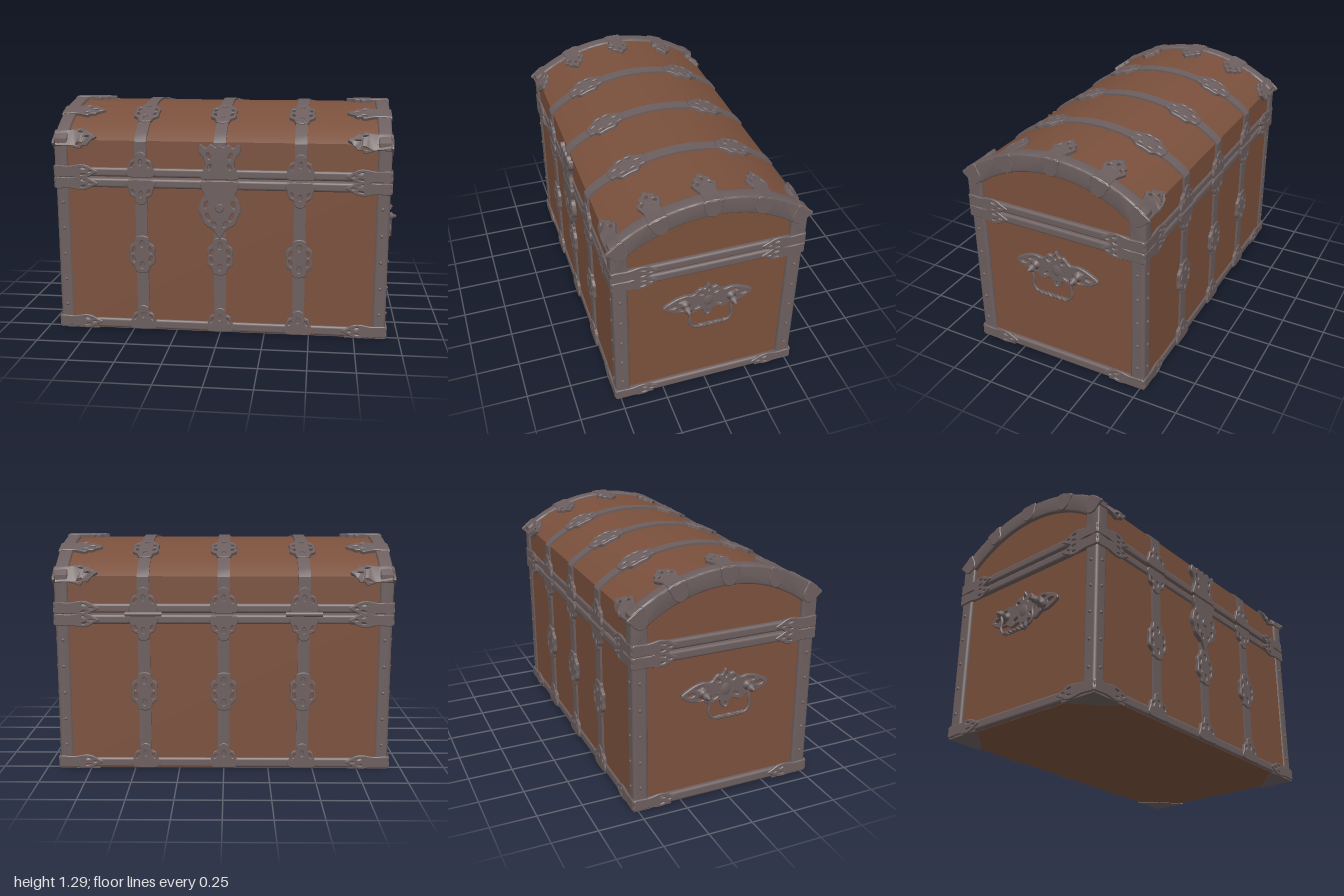
import * as THREE from 'three';
import { toCreasedNormals } from 'three/addons/utils/BufferGeometryUtils.js';
import { RoundedBoxGeometry } from 'three/addons/geometries/RoundedBoxGeometry.js';

const wood = new THREE.MeshStandardMaterial({ color: 0x7a503c });
wood.name = 'brown wood';
const iron = new THREE.MeshStandardMaterial({ color: 0x6c5e5e });
iron.name = 'dull iron';

// Lid cross-section: arc of radius R about height CY, then straight walls at z = HZ
const R = 0.84, CY = 0.43, HZ = 0.517, A = Math.asin(HZ / R), S = R * A;

function add(parent, name, geo, mat, x = 0, y = 0, z = 0) {
  const m = new THREE.Mesh(geo, mat);
  m.name = name;
  m.position.set(x, y, z);
  parent.add(m);
  return m;
}

// Arched outline: straight sides from y0, closed by an arc
function arch(path, half, r, cy, y0) {
  const a = Math.asin(half / r);
  path.moveTo(-half, y0);
  path.lineTo(half, y0);
  path.absarc(0, cy, r, Math.PI / 2 - a, Math.PI / 2 + a, false);
  path.closePath();
  return path;
}

// Wrought plate: right half outline mirrored in x; holes are [x, y, rx, ry, tilt], mirrored too
function plate(half, depth, holes = []) {
  const pts = half.map(p => new THREE.Vector2(...p));
  const left = half.slice(0, -1).reverse().map(p => new THREE.Vector2(-p[0], p[1]));
  const shape = new THREE.Shape(new THREE.SplineCurve([...pts, ...left]).getPoints(half.length * 6).slice(0, -1));
  for (const [x, y, rx, ry, tilt = 0] of holes)
    for (const s of x ? [1, -1] : [1])
      shape.holes.push(new THREE.Path().absellipse(s * x, y, rx, ry, 0, Math.PI * 2, true, s * tilt));
  const b = 0.004;
  const g = new THREE.ExtrudeGeometry(shape, {
    depth: depth - b, bevelThickness: b, bevelSize: b, bevelOffset: -b, bevelSegments: 1, curveSegments: 6
  });
  return g;
}

// Bend a flat piece over the lid; y becomes distance from the ridge (positive towards the back)
function wrap(geo, s0 = 0) {
  const p = geo.attributes.position;
  for (let i = 0; i < p.count; i++) {
    const t = p.getY(i) + s0, d = p.getZ(i), s = Math.abs(t), side = t > 0 ? -1 : 1;
    const a = Math.min(s / R, A);
    if (s <= S) p.setXYZ(i, p.getX(i), CY + (R + d) * Math.cos(a), side * (R + d) * Math.sin(a));
    else p.setXYZ(i, p.getX(i), CY + R * Math.cos(A) - (s - S), side * (HZ + d));
  }
  return toCreasedNormals(geo, 0.5);
}

const medallion = () => plate(
  [[0, -0.11], [0.035, -0.1], [0.045, -0.07], [0.072, -0.045], [0.07, 0], [0.072, 0.045], [0.045, 0.07], [0.035, 0.1], [0, 0.11]],
  0.02, [[0.048, 0.025, 0.008, 0.018, 0.3], [0.048, -0.025, 0.008, 0.018, -0.3], [0, 0.062, 0.011, 0.018], [0, -0.062, 0.011, 0.018]]);
const foot = () => plate(
  [[0, 0], [0.065, 0.003], [0.082, 0.025], [0.07, 0.055], [0.06, 0.09], [0.035, 0.105], [0.03, 0.13], [0, 0.145]],
  0.018, [[0.045, 0.07, 0.006, 0.014, 0.5], [0, 0.085, 0.009, 0.016]]);
const claw = () => plate(
  [[0, 0], [0.045, 0.003], [0.045, 0.08], [0.055, 0.115], [0.064, 0.15], [0.045, 0.165], [0.046, 0.19], [0.025, 0.205], [0, 0.24]],
  0.02, [[0.034, 0.145, 0.007, 0.016, 0.4], [0, 0.185, 0.007, 0.017]]);
const bandClaw = () => plate(
  [[0, 0], [0.032, 0.003], [0.03, 0.08], [0.04, 0.14], [0.036, 0.18], [0.02, 0.21], [0, 0.245]],
  0.01, [[0.017, 0.16, 0.004, 0.014, 0.2], [0, 0.2, 0.004, 0.01]]);

// Carrying handle on an end face (local z points outwards)
function handle() {
  const g = new THREE.Group();
  g.name = 'carryingHandle';
  add(g, 'handlePlate', plate(
    [[0, -0.115], [0.022, -0.095], [0.035, -0.06], [0.09, -0.075], [0.13, -0.05], [0.19, -0.045], [0.255, 0],
      [0.19, 0.045], [0.13, 0.06], [0.085, 0.055], [0.05, 0.09], [0.02, 0.088], [0, 0.12]],
    0.018, [[0.2, 0, 0.022, 0.011], [0.15, 0.032, 0.02, 0.008, -0.3], [0.15, -0.032, 0.02, 0.008, 0.3],
      [0.045, 0.055, 0.016, 0.009, 0.5], [0.06, -0.035, 0.018, 0.008, -0.4], [0, 0.082, 0.008, 0.014], [0, -0.085, 0.007, 0.012]]), iron);
  add(g, 'handleBoss', new THREE.SphereGeometry(0.045, 16, 8), iron).scale.set(1, 1.2, 0.55);
  const post = [[0, 0], [0.03, 0], [0.028, 0.022], [0.014, 0.028], [0.012, 0.042], [0.022, 0.05], [0.022, 0.066], [0.01, 0.074], [0.012, 0.082], [0, 0.094]];
  for (const s of [-1, 1])
    add(g, 'handlePivot', new THREE.LatheGeometry(post.map(p => new THREE.Vector2(...p)), 12), iron, s * 0.13).rotation.x = Math.PI / 2;
  const bail = [[-0.13, 0], [-0.115, -0.05], [-0.12, -0.09], [-0.1, -0.125], [-0.06, -0.132], [0.06, -0.132], [0.1, -0.125], [0.12, -0.09], [0.115, -0.05], [0.13, 0]];
  add(g, 'bail', new THREE.TubeGeometry(new THREE.CatmullRomCurve3(bail.map(p => new THREE.Vector3(p[0], p[1], 0.06))), 48, 0.008, 8), iron);
  for (const o of [0, Math.PI]) {
    const twist = [];
    for (let i = 0; i <= 40; i++) {
      const a = i / 40 * Math.PI * 6 + o;
      twist.push(new THREE.Vector3(-0.085 + 0.17 * i / 40, -0.132 + 0.007 * Math.cos(a), 0.06 + 0.007 * Math.sin(a)));
    }
    add(g, 'bailTwist', new THREE.TubeGeometry(new THREE.CatmullRomCurve3(twist), 60, 0.007, 6), iron);
  }
  return g;
}

export function createModel() {
  const chest = new THREE.Group();
  chest.name = 'treasureChest';

  // Wooden body and arched lid
  add(chest, 'body', new THREE.BoxGeometry(1.81, 0.875, HZ * 2), wood, 0, 0.4405);
  const lid = new THREE.ExtrudeGeometry(arch(new THREE.Shape(), HZ, R, CY, 0.89), { depth: 1.81, bevelEnabled: false, curveSegments: 32 });
  lid.translate(0, 0, -0.905).rotateY(Math.PI / 2);
  add(chest, 'lid', toCreasedNormals(lid, 0.3), wood);

  // Horizontal iron bands
  for (const [y0, y1] of [[0.005, 0.063], [0.828, 0.882], [0.89, 0.943]])
    add(chest, 'band', new RoundedBoxGeometry(1.856, y1 - y0, 1.054, 3, 0.015), iron, 0, (y0 + y1) / 2);

  for (const sx of [-1, 1]) {
    // Arched rims at the lid ends
    const outline = arch(new THREE.Shape(), 0.52, 0.845, CY, 0.9);
    outline.holes.push(arch(new THREE.Path(), 0.45, 0.735, 0.46, 0.92));
    const rim = new THREE.ExtrudeGeometry(outline, { depth: 0.054, bevelThickness: 0.01, bevelSize: 0.01, bevelSegments: 3, curveSegments: 24 });
    rim.translate(0, 0, -0.027).rotateY(Math.PI / 2);
    add(chest, 'lidRim', toCreasedNormals(rim, 0.6), iron, sx * 0.888);

    // Corner posts
    for (const sz of [-1, 1]) {
      add(chest, 'cornerPost', new RoundedBoxGeometry(0.076, 0.8, 0.084, 3, 0.018), iron, sx * 0.887, 0.44, sz * 0.483);
      // Underside corner plates
      const c = new THREE.Shape();
      c.moveTo(sx * 0.925, sz * 0.525);
      c.lineTo(sx * 0.925, sz * 0.31);
      c.quadraticCurveTo(sx * 0.86, sz * 0.36, sx * 0.82, sz * 0.4);
      c.quadraticCurveTo(sx * 0.76, sz * 0.44, sx * 0.7, sz * 0.525);
      const foil = new THREE.ExtrudeGeometry(c, { depth: 0.01, bevelEnabled: false });
      add(chest, 'underCorner', foil.rotateX(Math.PI / 2), iron, 0, 0.01);
    }

    // Claws gripping the lid, with rounded tabs over the rim ends
    for (const a of [-0.645, -0.345, 0, 0.345, 0.645]) {
      const g = claw().rotateZ(sx * Math.PI / 2).translate(sx * 0.928, 0, 0);
      add(chest, 'lidClaw', wrap(g, a * R), iron);
      const tab = plate([[0, -0.1], [0.025, -0.093], [0.042, -0.07], [0.048, -0.035], [0.052, -0.002], [0, 0]], 0.012);
      tab.translate(0, 0.855, 0).rotateZ(a).rotateY(sx * Math.PI / 2);
      add(chest, 'rimTab', tab, iron, sx * 0.92, CY);
    }
  }

  // Three straps running over the lid
  for (const x of [-0.44, 0, 0.44]) {
    add(chest, 'lidStrap', wrap(new THREE.BoxGeometry(0.066, 2 * (S + 0.18), 0.024, 1, 50, 1), 0), iron, x);
    for (const s of [-1, 1]) add(chest, 'lidMedallion', wrap(medallion(), s * 0.305), iron, x);
  }

  // Front and back: straps, feet and medallions
  for (const back of [0, 1]) {
    const f = new THREE.Group();
    f.name = back ? 'backIronwork' : 'frontIronwork';
    f.rotation.y = back * Math.PI;
    chest.add(f);
    for (const x of [-0.44, 0, 0.44]) {
      add(f, 'strap', new THREE.BoxGeometry(0.066, 0.8, 0.024), iron, x, 0.44, HZ);
      add(f, 'strapMedallion', medallion(), iron, x, 0.45, HZ);
      add(f, 'strapFoot', foot(), iron, x, 0.006, 0.518);
      add(f, 'lidStrapFoot', foot(), iron, x, 0.89, 0.518);
      add(f, 'strapHead', foot().rotateZ(Math.PI), iron, x, 0.88, 0.518);
      if (back && x) {
        add(f, 'hinge', new THREE.CylinderGeometry(0.014, 0.014, 0.2, 12).rotateZ(Math.PI / 2), iron, x, 0.886, 0.531);
      }
    }
    if (back) continue;
    // Lock plate and hasp
    add(f, 'lockPlate', plate(
      [[0, 0], [0.02, 0.035], [0.04, 0.06], [0.085, 0.09], [0.1, 0.13], [0.118, 0.17], [0.105, 0.22], [0.085, 0.25], [0.1, 0.29], [0.1, 0.33], [0, 0.333]],
      0.025, [[0.065, 0.13, 0.01, 0.022, -0.4], [0.075, 0.2, 0.009, 0.02, 0.3], [0.03, 0.09, 0.008, 0.016, -0.5]]), iron, 0, 0.548, 0.519);
    add(f, 'keyhole', new THREE.CylinderGeometry(0.02, 0.028, 0.01, 16).rotateX(Math.PI / 2), iron, 0, 0.73, 0.545);
    add(f, 'hasp', plate(
      [[0, 0], [0.1, 0.002], [0.095, 0.04], [0.08, 0.08], [0.09, 0.12], [0.115, 0.155], [0.105, 0.195], [0.075, 0.175], [0.05, 0.195], [0.02, 0.18], [0, 0.195]],
      0.025, [[0.06, 0.13, 0.009, 0.018, -0.4], [0.055, 0.07, 0.009, 0.015, 0.4]]), iron, 0, 0.888, 0.519);
  }

  // All four sides: band claws at the corners and rivets on the posts
  for (let i = 0; i < 4; i++) {
    const side = new THREE.Group(), end = i % 2, half = end ? 0.526 : 0.926, out = end ? 0.924 : 0.523;
    side.name = 'sideFittings';
    side.rotation.y = i * Math.PI / 2;
    chest.add(side);
    for (const s of [-1, 1]) {
      for (const y of [0.04, 0.852, 0.918])
        add(side, 'bandClaw', bandClaw().rotateZ(s * Math.PI / 2), iron, s * half, y, out);
      for (let k = 0; k < 5; k++)
        add(side, 'rivet', new THREE.SphereGeometry(0.01, 8, 6), iron, s * (half - 0.04), 0.14 + 0.15 * k, out);
    }
    if (end) {
      const h = handle();
      h.position.set(0, 0.615, 0.904);
      side.add(h);
    }
  }
  return chest;
}
